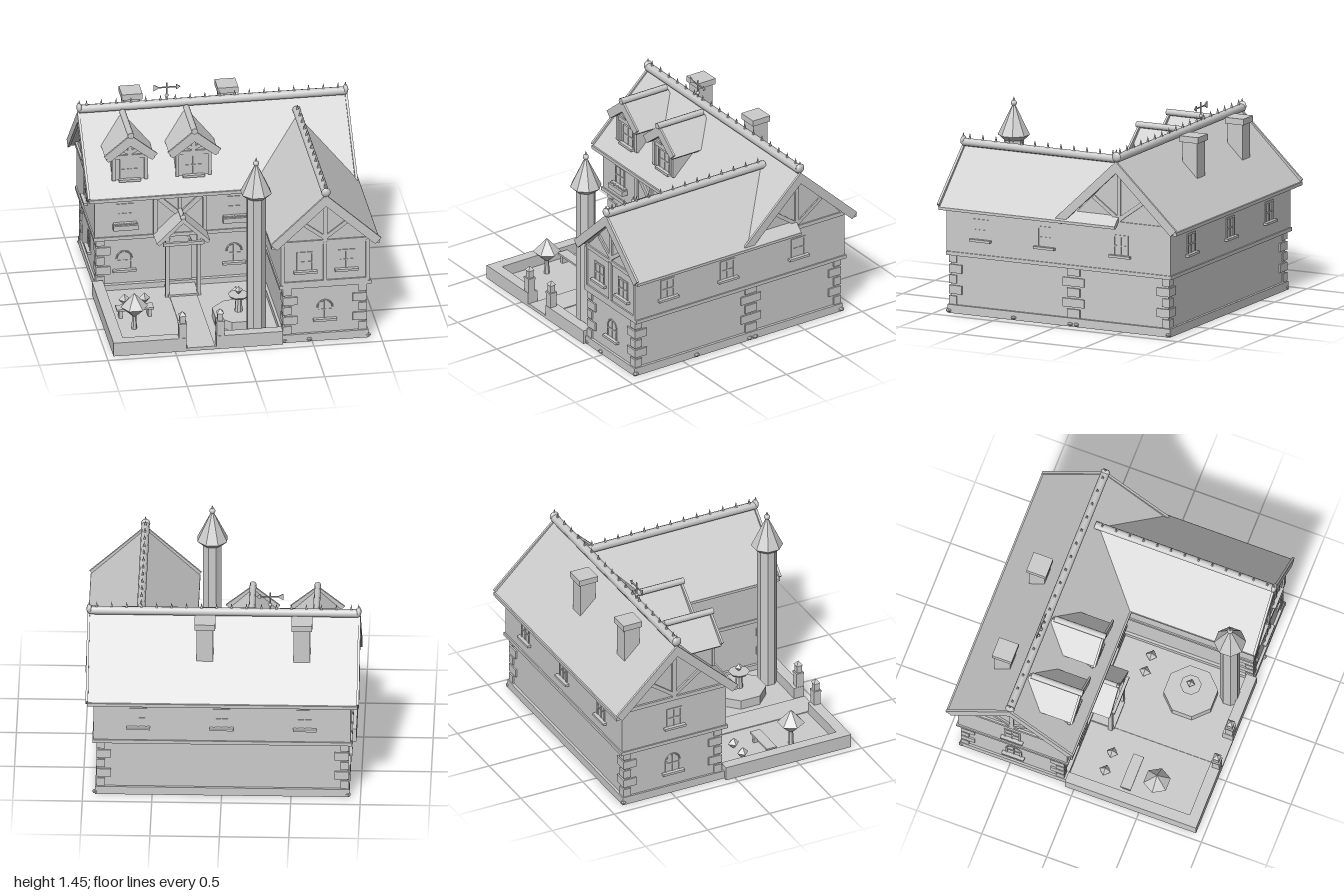
import * as THREE from 'three';

const stone = new THREE.MeshStandardMaterial({ color: 0xcccccc });
stone.name = 'plain grey';

function add(parent, name, geo, x = 0, y = 0, z = 0) {
  const m = new THREE.Mesh(geo, stone);
  m.name = name;
  m.position.set(x, y, z);
  parent.add(m);
  return m;
}
function group(parent, name, x = 0, y = 0, z = 0, ry = 0) {
  const g = new THREE.Group();
  g.name = name;
  g.position.set(x, y, z);
  g.rotation.y = ry;
  parent.add(g);
  return g;
}
// box given by its limits
function block(p, name, x0, x1, y0, y1, z0, z1) {
  return add(p, name, new THREE.BoxGeometry(x1 - x0, y1 - y0, z1 - z0), (x0 + x1) / 2, (y0 + y1) / 2, (z0 + z1) / 2);
}
// hollow course of four bars around a rectangle
function course(p, name, x0, x1, y0, y1, z0, z1, t = 0.03) {
  for (const x of [x0, x1 - t]) block(p, name, x, x + t, y0, y1, z0, z1);
  for (const z of [z0, z1 - t]) block(p, name, x0 + t, x1 - t, y0, y1, z, z + t);
}
// faceted column, cone or bowl
function facet(p, name, rTop, rBot, y0, y1, x, z, n = 8, turn = Math.PI / n) {
  const g = new THREE.CylinderGeometry(rTop, rBot, y1 - y0, n).rotateY(turn).toNonIndexed();
  g.computeVertexNormals();
  return add(p, name, g, x, (y0 + y1) / 2, z);
}
// outline extruded along z
function prism(p, name, pts, z0, z1) {
  const s = new THREE.Shape(pts.map(([x, y]) => new THREE.Vector2(x, y)));
  return add(p, name, new THREE.ExtrudeGeometry(s, { depth: z1 - z0, bevelEnabled: false }), 0, 0, z0);
}
// gable roof section with square-cut eaves
function chevron(p, name, w, e, r, t, z0, z1) {
  const k = t / 2;
  return prism(p, name, [[-w, e], [-w + k, e - k], [0, r - t], [w - k, e - k], [w, e], [0, r]], z0, z1);
}
// timber between two points on a wall
function beam(p, x1, y1, x2, y2, z, w = 0.028, d = 0.02) {
  const m = add(p, 'timber', new THREE.BoxGeometry(Math.hypot(x2 - x1, y2 - y1), w, d), (x1 + x2) / 2, (y1 + y2) / 2, z);
  m.rotation.z = Math.atan2(y2 - y1, x2 - x1);
}
// timber framing inside a gable
function gableTimbers(p, w, y0, r, z) {
  beam(p, -w, y0, w, y0, z, 0.03);
  beam(p, 0, y0, 0, r, z, 0.03);
  for (const s of [-1, 1]) beam(p, 0, y0 + 0.03, s * w * 0.5, y0 + (r - y0) * 0.48, z);
}
// ridge tube with spikes and flattened end balls
function ridge(p, r, y, z0, z1, n, balls = [z0, z1]) {
  const g = new THREE.CylinderGeometry(r, r, z1 - z0, 8).rotateX(Math.PI / 2);
  add(p, 'ridge cap', g, 0, y, (z0 + z1) / 2);
  for (let i = 0; i < n; i++)
    facet(p, 'ridge spike', 0, 0.011, y + r - 0.005, y + r + 0.04, 0, z0 + ((i + 0.5) / n) * (z1 - z0), 4);
  for (const z of balls) {
    add(p, 'ridge ball', new THREE.SphereGeometry(r + 0.004, 10, 8), 0, y + 0.012, z).scale.z = 0.55;
    facet(p, 'ball tip', 0, 0.012, y + r, y + r + 0.04, 0, z, 6);
  }
}
// shallow framed window with cross bars and sill, facing local z
function windowUnit(p, x, y, z, ry, { w = 0.11, h = 0.15, arch = false, box = false, sill = 0.17 } = {}) {
  const g = group(p, 'window', x, y, z, ry);
  const top = arch ? h - w / 2 : h;
  for (const s of [-1, 1]) beam(g, s * w / 2, 0.01, s * w / 2, top, 0, 0.014, 0.012);
  beam(g, 0, 0.01, 0, h, 0, 0.01, 0.01);
  beam(g, -w / 2, h * 0.5, w / 2, h * 0.5, 0, 0.01, 0.01);
  if (arch) add(g, 'window arch', new THREE.TorusGeometry(w / 2, 0.006, 4, 10, Math.PI), 0, top, 0);
  else beam(g, -w / 2 - 0.007, h, w / 2 + 0.007, h, 0, 0.014, 0.012);
  block(g, 'sill', -sill / 2, sill / 2, -0.009, 0.009, -0.005, 0.028);
  if (box) {
    block(g, 'flower box', -0.09, 0.09, -0.04, -0.002, 0, 0.045);
    for (let i = -2; i <= 2; i++) add(g, 'flower', new THREE.IcosahedronGeometry(0.013), i * 0.034, 0.004, 0.025).scale.y = 0.7;
  }
}

export function createModel() {
  const root = new THREE.Group();
  root.name = 'timber framed house';

  // masonry and upper storeys of both wings
  const walls = group(root, 'walls');
  course(walls, 'plinth', -0.92, 0.91, 0, 0.062, -0.89, -0.07);
  course(walls, 'wing plinth', 0.28, 0.91, 0, 0.062, -0.1, 0.92);
  block(walls, 'lower walls', -0.905, 0.89, 0.05, 0.45, -0.87, -0.1);
  block(walls, 'lower wing walls', 0.3, 0.89, 0.05, 0.45, -0.1, 0.9);
  block(walls, 'floor beam', -0.94, 0.93, 0.43, 0.457, -0.91, -0.05);
  block(walls, 'floor beam', 0.26, 0.93, 0.43, 0.457, -0.1, 0.92);
  block(walls, 'upper walls', -0.93, 0.92, 0.45, 0.8, -0.9, -0.06);
  block(walls, 'upper wing walls', 0.27, 0.92, 0.45, 0.8, -0.06, 0.91);

  // corner stones, alternately long and short
  const corners = [[-0.905, -0.87, 1, 1], [-0.905, -0.1, 1, -1], [0.89, -0.87, -1, 1], [0.89, 0.9, -1, -1], [0.3, 0.9, 1, -1], [0.89, -0.1, -1, 0]];
  for (const [x, z, sx, sz] of corners) for (let i = 0; i < 5; i++) {
    const l = i % 2 ? 0.105 : 0.062, y = 0.095 + i * 0.077;
    add(walls, 'corner stone', new THREE.BoxGeometry(l, 0.062, sz ? l : l * 1.65), x + sx * (l / 2 - 0.012), y, z + sz * (l / 2 - 0.012));
  }
  for (const [x, z] of [[0.3, 0.91], [0.48, 0.92], [0.91, 0.91], [0.91, 0.38], [0.91, -0.08], [0.91, -0.13], [0.91, -0.88], [-0.91, -0.88]])
    add(walls, 'loose stone', new THREE.IcosahedronGeometry(0.022), x, 0.018, z).scale.y = 0.75;

  // main roof, its gables face left and right
  const main = group(root, 'main roof', -0.007, 0, -0.483, Math.PI / 2);
  prism(main, 'attic', [[-0.42, 0.78], [0.42, 0.78], [0, 1.2]], -0.92, 0.925);
  chevron(main, 'roof tiles', 0.483, 0.785, 1.255, 0.04, -0.97, 0.97);
  for (const s of [-1, 1]) {
    chevron(main, 'bargeboard', 0.49, 0.805, 1.268, 0.088, s * 0.975 - 0.009, s * 0.975 + 0.009);
    gableTimbers(main, 0.42, 0.8, 1.18, s * 0.925);
    block(main, 'gutter', s * 0.478 - 0.012, s * 0.478 + 0.012, 0.765, 0.79, -0.975, 0.975);
  }
  ridge(main, 0.032, 1.288, -0.97, 0.97, 18);

  // front wing roof
  const wing = group(root, 'wing roof', 0.595);
  prism(wing, 'wing attic', [[-0.325, 0.78], [0.325, 0.78], [0, 1.11]], -0.45, 0.905);
  chevron(wing, 'wing tiles', 0.393, 0.79, 1.165, 0.04, -0.48, 0.95);
  chevron(wing, 'wing bargeboard', 0.402, 0.812, 1.185, 0.09, 0.942, 0.96);
  gableTimbers(wing, 0.31, 0.79, 1.1, 0.907);
  for (const s of [-1, 1]) block(wing, 'gutter', s * 0.385 - 0.01, s * 0.385 + 0.01, 0.77, 0.79, s < 0 ? -0.02 : -0.48, 0.95);
  ridge(wing, 0.03, 1.194, -0.42, 0.955, 13, [0.955]);
  for (const x of [-0.31, 0, 0.31]) beam(wing, x, 0.46, x, 0.79, 0.912);
  beam(wing, -0.31, 0.47, 0.31, 0.47, 0.912);

  // dormers
  for (const x of [-0.67, -0.205]) {
    const d = group(root, 'dormer', x);
    prism(d, 'dormer walls', [[-0.125, 0.89], [0.125, 0.89], [0.125, 1.08], [0, 1.2], [-0.125, 1.08]], -0.44, -0.1);
    chevron(d, 'dormer roof', 0.178, 1.075, 1.245, 0.035, -0.45, -0.055);
    chevron(d, 'dormer bargeboard', 0.195, 1.107, 1.268, 0.088, -0.062, -0.046);
    gableTimbers(d, 0.12, 1.075, 1.2, -0.098);
    for (const s of [-1, 1]) beam(d, s * 0.118, 0.89, s * 0.118, 1.08, -0.096, 0.025);
    ridge(d, 0.024, 1.268, -0.43, -0.035, 0, []);
    windowUnit(d, 0, 0.89, -0.1, 0, { w: 0.13, h: 0.16, sill: 0.16 });
  }

  // chimneys
  for (const x of [-0.573, 0.125]) {
    block(root, 'chimney', x - 0.06, x + 0.06, 0.9, 1.285, -0.73, -0.61);
    block(root, 'chimney cap', x - 0.075, x + 0.075, 1.275, 1.32, -0.745, -0.595);
  }

  // weathervane
  const vane = group(root, 'weathervane', -0.34, 0, -0.483);
  facet(vane, 'vane pole', 0.005, 0.007, 1.3, 1.45, 0, 0, 6);
  add(vane, 'vane ball', new THREE.SphereGeometry(0.014, 8, 6), 0, 1.35, 0);
  block(vane, 'vane arm', -0.07, 0.08, 1.411, 1.419, -0.004, 0.004);
  prism(vane, 'vane tail', [[-0.095, 1.39], [-0.05, 1.415], [-0.095, 1.44]], -0.004, 0.004);
  prism(vane, 'vane tip', [[0.07, 1.395], [0.1, 1.415], [0.07, 1.435]], -0.004, 0.004);

  // windows on all sides
  for (const x of [0.45, 0.75]) windowUnit(root, x, 0.56, 0.91, 0);
  windowUnit(root, 0.595, 0.165, 0.9, 0, { arch: true });
  for (const x of [-0.71, 0.09]) {
    windowUnit(root, x, 0.56, -0.06, 0, { box: true });
    windowUnit(root, x, 0.165, -0.1, 0, { arch: true });
  }
  for (const z of [0.64, 0.12, -0.495]) windowUnit(root, 0.92, 0.56, z, Math.PI / 2);
  for (const x of [-0.6, 0, 0.6]) windowUnit(root, x, 0.56, -0.9, Math.PI);
  windowUnit(root, -0.93, 0.56, -0.48, -Math.PI / 2);
  windowUnit(root, -0.905, 0.165, -0.48, -Math.PI / 2, { arch: true });

  // porch, door and the crossed timbers above
  const porch = group(root, 'porch', -0.31);
  chevron(porch, 'porch roof', 0.195, 0.455, 0.645, 0.04, -0.06, 0.105);
  block(porch, 'porch lintel', -0.15, 0.15, 0.44, 0.465, 0.105, 0.128);
  ridge(porch, 0.017, 0.64, -0.06, 0.105, 0, [0.1]);
  for (const s of [-1, 1]) {
    block(porch, 'porch post', s * 0.115 - 0.014, s * 0.115 + 0.014, 0.02, 0.5, 0.07, 0.1);
    beam(porch, 0, 0.6, s * 0.18, 0.77, -0.055, 0.035);
    beam(porch, s * 0.18, 0.46, s * 0.18, 0.78, -0.055);
    beam(porch, s * 0.083, 0.05, s * 0.083, 0.35, -0.095, 0.016);
  }
  beam(porch, 0, 0.6, 0, 0.78, -0.055);
  const door = new THREE.Shape().moveTo(-0.08, 0.04).lineTo(0.08, 0.04).lineTo(0.08, 0.35).absarc(0, 0.35, 0.08, 0, Math.PI, false);
  add(porch, 'door', new THREE.ExtrudeGeometry(door, { depth: 0.008, bevelEnabled: false }), 0, 0, -0.1);
  add(porch, 'door arch', new THREE.TorusGeometry(0.083, 0.009, 4, 12, Math.PI), 0, 0.35, -0.095);
  block(porch, 'door step', -0.11, 0.11, 0, 0.04, -0.07, 0.11);

  // garden
  const garden = group(root, 'garden');
  block(garden, 'lawn', -0.95, 0.28, 0, 0.02, -0.07, 0.94);
  block(garden, 'path', -0.41, -0.21, 0.015, 0.026, 0, 0.94);
  block(garden, 'garden wall', -0.95, -0.87, 0, 0.105, -0.07, 0.94);
  block(garden, 'garden wall', -0.87, -0.42, 0, 0.105, 0.86, 0.94);
  block(garden, 'garden wall', -0.2, 0.285, 0, 0.105, 0.86, 0.94);
  for (const x of [-0.445, -0.17]) {
    const g = group(garden, 'gate post', x, 0, 0.91);
    block(g, 'post', -0.027, 0.027, 0, 0.205, -0.027, 0.027);
    block(g, 'post cap', -0.031, 0.031, 0.205, 0.22, -0.031, 0.031);
    block(g, 'lantern', -0.02, 0.02, 0.22, 0.28, -0.02, 0.02);
    facet(g, 'lantern roof', 0, 0.036, 0.278, 0.31, 0, 0, 4);
  }
  block(garden, 'bench seat', -0.84, -0.57, 0.08, 0.095, 0.315, 0.395);
  for (const x of [-0.81, -0.6]) block(garden, 'bench leg', x - 0.012, x + 0.012, 0.02, 0.08, 0.325, 0.385);
  facet(garden, 'tree trunk', 0.015, 0.02, 0.02, 0.15, -0.74, 0.56, 6);
  facet(garden, 'tree crown', 0, 0.1, 0.2, 0.305, -0.74, 0.56, 6);
  facet(garden, 'tree crown', 0.1, 0, 0.11, 0.2, -0.74, 0.56, 6);
  for (const x of [-0.75, -0.605, 0.06, 0.19]) add(garden, 'bush', new THREE.OctahedronGeometry(0.044), x, 0.06, 0.165);

  // fountain
  const f = group(garden, 'fountain', 0.025, 0, 0.53);
  facet(f, 'fountain basin', 0.197, 0.197, 0.02, 0.09, 0, 0);
  facet(f, 'fountain column', 0.022, 0.03, 0.08, 0.21, 0, 0);
  facet(f, 'fountain bowl', 0.078, 0.065, 0.205, 0.222, 0, 0);
  add(f, 'fountain finial', new THREE.OctahedronGeometry(0.032), 0, 0.255, 0);

  // turret
  const t = group(root, 'turret', 0.11, 0, 0.8);
  facet(t, 'turret shaft', 0.072, 0.072, 0, 1.14, 0, 0);
  facet(t, 'turret eave', 0.116, 0.078, 1.135, 1.17, 0, 0);
  facet(t, 'turret roof', 0.012, 0.116, 1.17, 1.385, 0, 0);
  add(t, 'turret ball', new THREE.SphereGeometry(0.022, 10, 8), 0, 1.402, 0);
  facet(t, 'turret tip', 0, 0.01, 1.42, 1.45, 0, 0, 6);

  return root;
}
